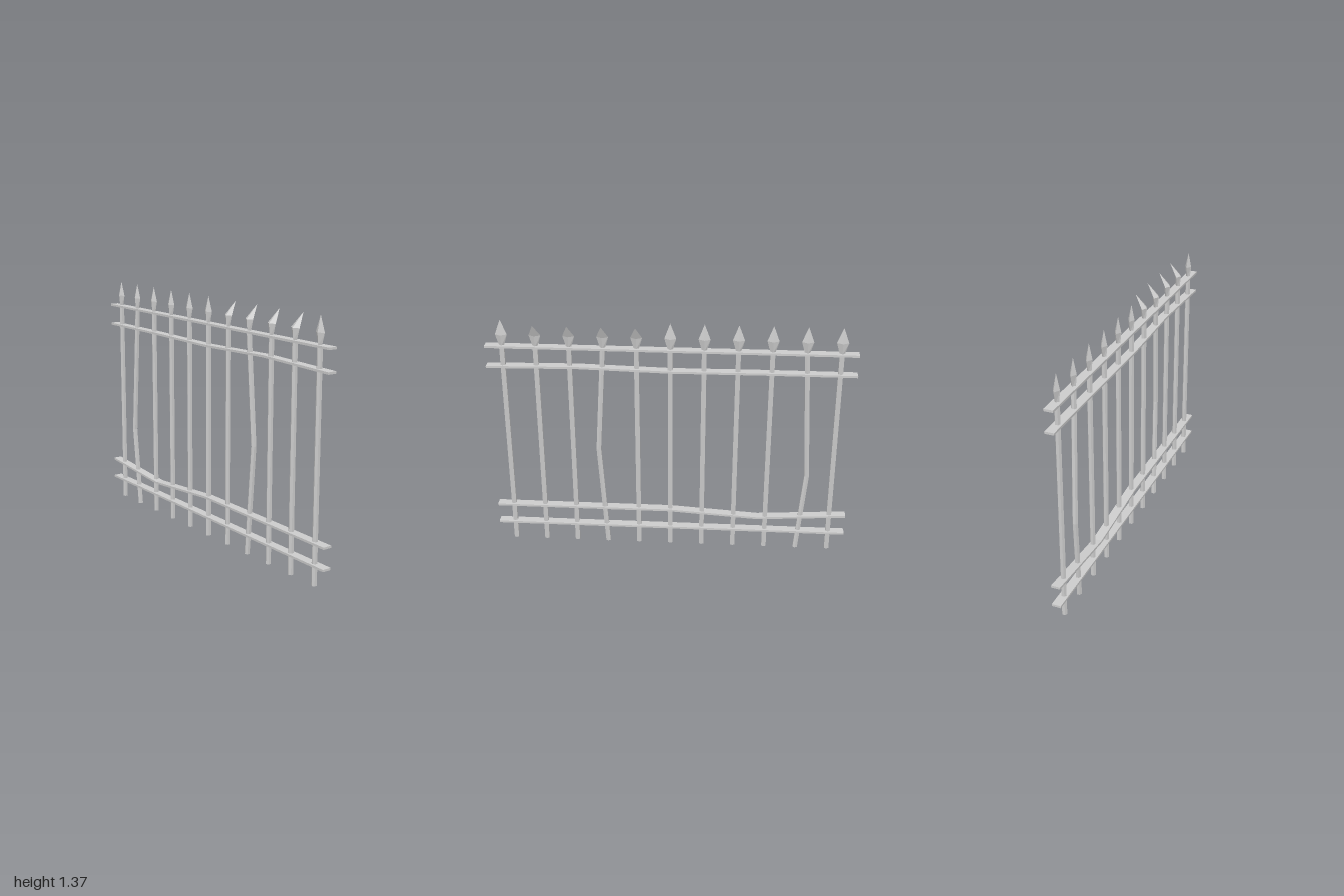
import * as THREE from 'three';

const Z = 0.012; // centre line of the fence
const metal = new THREE.MeshStandardMaterial({ color: 0xcccccc, flatShading: true });

// Move every vertex of a geometry by a rule
function reshape(geometry, rule) {
  const p = geometry.attributes.position;
  const v = new THREE.Vector3();
  for (let i = 0; i < p.count; i++) {
    v.fromBufferAttribute(p, i);
    rule(v);
    p.setXYZ(i, v.x, v.y, v.z);
  }
  geometry.computeVertexNormals();
  return geometry;
}

// Six-sided post, optionally kinked at one height
function post(kink = { y: 0.6, dx: 0, dz: 0 }) {
  const height = 1.215;
  const geo = new THREE.CylinderGeometry(0.015, 0.015, 2, 6, 2);
  return reshape(geo, (v) => {
    if (v.y > 0.5) v.y = height;
    else if (v.y < -0.5) v.y = 0;
    else v.set(v.x + kink.dx, kink.y, v.z + kink.dz);
  });
}

// Flat four-sided spearhead; a bent one has its tip pushed backwards
function spearhead(bent) {
  const geo = new THREE.CylinderGeometry(1, 1, 2, 4, 2);
  return reshape(geo, (v) => {
    if (v.y > 0.5) v.set(0, bent ? 0.138 : 0.15, bent ? -0.05 : 0);
    else if (v.y < -0.5) v.set(v.x * 0.013, 0, v.z * 0.012);
    else v.set(v.x * 0.032, 0.065, v.z * 0.018);
  });
}

// Flat bar through points [x, y, dz], with straight runs between them
function rail(points) {
  const geo = new THREE.BoxGeometry(points.length - 1, 0.012, 0.05, points.length - 1);
  const half = (points.length - 1) / 2;
  return reshape(geo, (v) => {
    const [x, y, dz] = points[Math.round(v.x + half)];
    v.set(x, v.y + y, v.z + dz);
  });
}

export function createModel() {
  const fence = new THREE.Group();
  fence.name = 'fence';
  const add = (name, geometry, x = 0, y = 0) => {
    const mesh = new THREE.Mesh(geometry, metal);
    mesh.name = name;
    mesh.position.set(x, y, Z);
    fence.add(mesh);
  };

  // Posts and spearheads
  const kinks = {
    1: { y: 0.47, dx: -0.041, dz: 0.007 },
    7: { y: 0.61, dx: 0.037, dz: -0.009 },
  };
  for (let i = 0; i < 11; i++) {
    const x = (i - 5) * 0.1818;
    add(`post${i + 1}`, post(kinks[i]), x);
    add(`spearhead${i + 1}`, spearhead(i >= 6 && i <= 9), x, 1.215);
  }

  // Rails: two straight, two slightly warped
  add('topRail', rail([[-1, 1.215, 0], [1, 1.215, 0]]));
  add('upperRail', rail([[-1, 1.098, 0], [-0.5, 1.098, 0], [0, 1.094, 0], [0.5, 1.108, -0.005], [1, 1.098, 0]]));
  add('lowerRail', rail([[-1, 0.227, 0], [-0.5, 0.192, 0.007], [0, 0.228, 0], [1, 0.228, 0]]));
  add('bottomRail', rail([[-1, 0.112, 0], [1, 0.112, 0]]));

  return fence;
}
